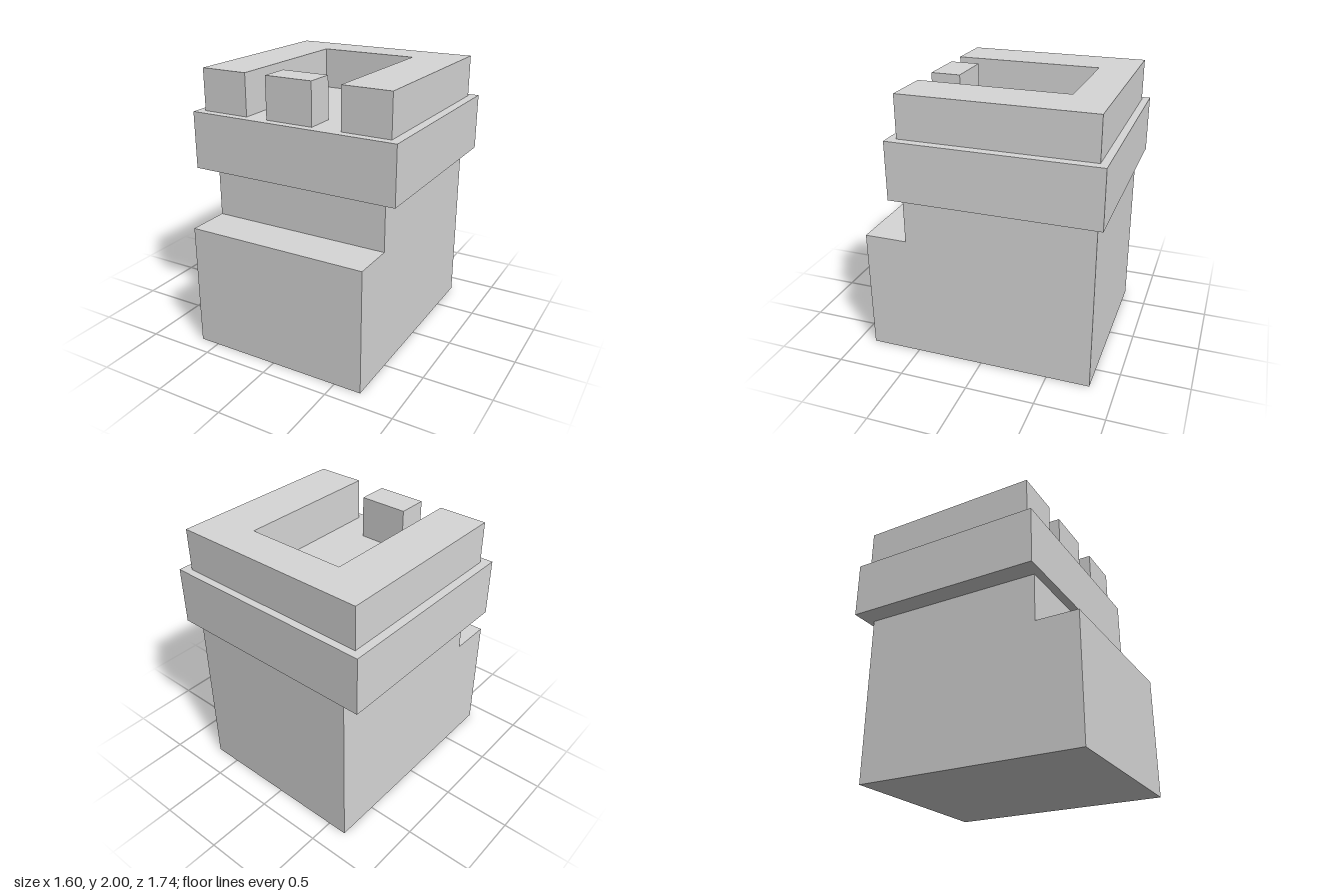
import * as THREE from 'three';

const grey = new THREE.MeshStandardMaterial({ color: 0xd6d6d6 });
grey.name = 'light stone grey';

// Straight-edged outline extruded along +z
function prism(points, depth) {
  const shape = new THREE.Shape(points.map(([a, b]) => new THREE.Vector2(a, b)));
  return new THREE.ExtrudeGeometry(shape, { depth, bevelEnabled: false });
}

// Box given by its limits on each axis
function box([x0, x1], [y0, y1], [z0, z1]) {
  return new THREE.BoxGeometry(x1 - x0, y1 - y0, z1 - z0)
    .translate((x0 + x1) / 2, (y0 + y1) / 2, (z0 + z1) / 2);
}

export function createModel() {
  const model = new THREE.Group();
  model.name = 'tower';
  const add = (name, geometry) => {
    const mesh = new THREE.Mesh(geometry, grey);
    mesh.name = name;
    model.add(mesh);
  };

  // Tower body with a step at the front: side profile (z, y) swept across x
  const body = prism([
    [-0.818, 0], [0.872, 0], [0.872, 0.914], [0.556, 0.914], [0.556, 1.268], [-0.818, 1.268],
  ], 1.347);
  add('steppedBody', body.rotateY(-Math.PI / 2).translate(0.702, 0, 0));

  // Overhanging slab
  add('overhang', box([-0.798, 0.798], [1.268, 1.692], [-0.872, 0.617]));

  // U-shaped parapet, open at the front: plan (x, -z) raised along y
  const parapet = prism([
    [-0.737, -0.555], [-0.377, -0.555], [-0.377, 0.543], [0.37, 0.543],
    [0.37, -0.555], [0.732, -0.555], [0.732, 0.818], [-0.737, 0.818],
  ], 0.308);
  add('parapet', parapet.rotateX(-Math.PI / 2).translate(0, 1.692, 0));

  // Single merlon in the front gap
  add('frontMerlon', box([-0.211, 0.15], [1.692, 2], [0.337, 0.555]));

  return model;
}
